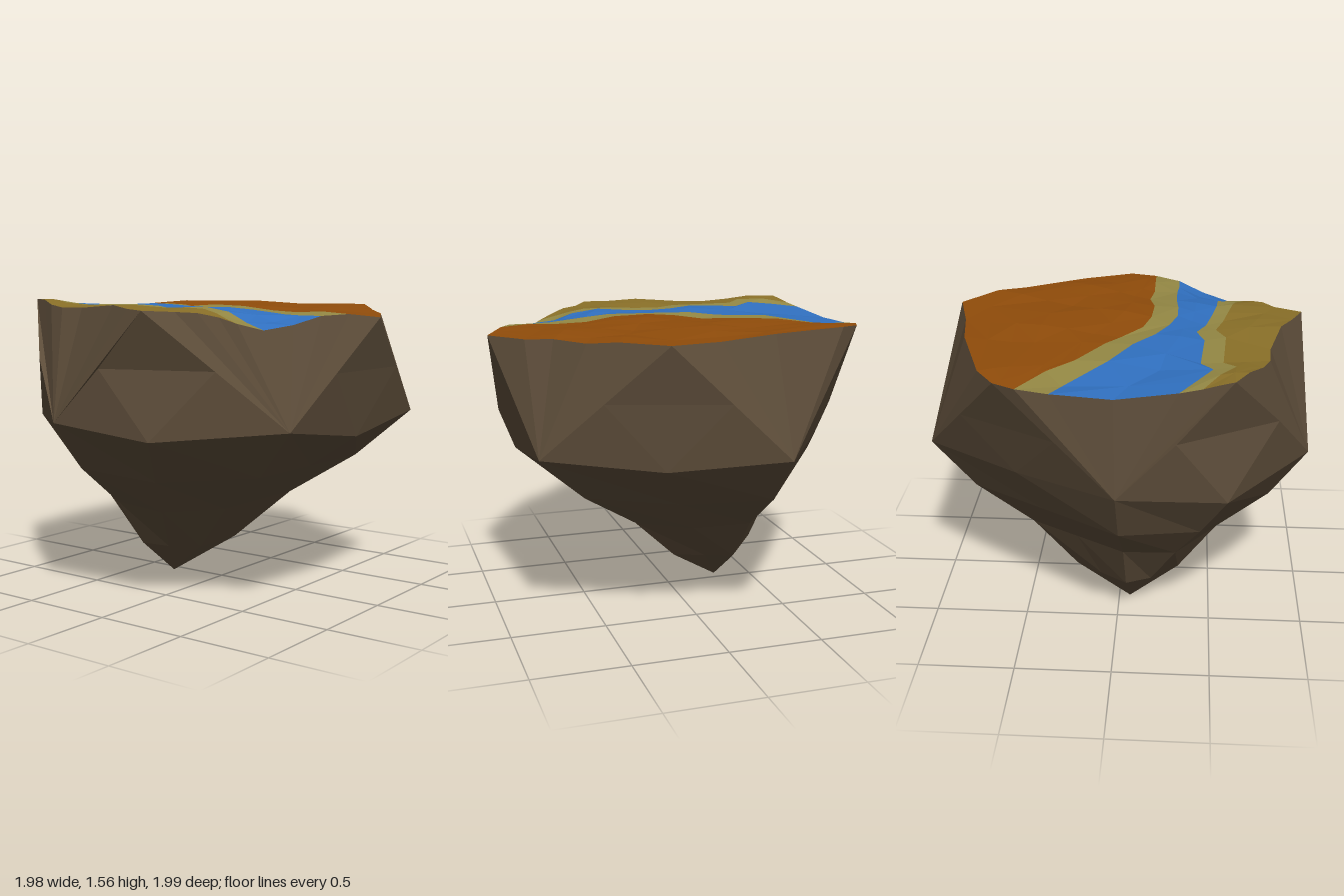
import * as THREE from 'three';

const N = 12;
const mat = (color) => new THREE.MeshStandardMaterial({ color, flatShading: true, roughness: 1 });
const V = (x, y, z) => new THREE.Vector3(x, y, z);

// Contour lines of the land as x, z pairs, each running from -x to +x
const backRim = [-.9, -.45, -.85, -.56, -.73, -.65, -.3, -.79, 0, -.84, .27, -.91, .48, -.74, .6, -.6, .72, -.4, .84, -.27, .985, 0, .89, .15];
const backShore = [-.9, -.45, -.67, -.33, -.55, -.2, -.31, -.07, -.2, 0, -.07, .11, .07, .15, .26, .16, .43, .13, .58, .15, .74, .15, .89, .15];
const backBank = [-.91, -.29, -.8, -.24, -.55, -.04, -.31, .07, -.18, .18, -.02, .25, .13, .29, .26, .29, .4, .28, .6, .28, .7, .29, .82, .29];
const frontBank = [-.9, .31, -.78, .39, -.65, .47, -.55, .41, -.27, .43, -.13, .39, 0, .44, .13, .47, .27, .5, .42, .51, .55, .54, .67, .57];
const frontShore = [-.88, .42, -.75, .5, -.62, .58, -.55, .52, -.2, .54, -.08, .49, .05, .53, .18, .56, .33, .59, .42, .61, .5, .64, .58, .66];
const frontRim = [-.85, .57, -.72, .64, -.6, .71, -.48, .75, -.33, .76, -.05, .83, .1, .9, .24, .96, .33, .82, .42, .76, .5, .7, .58, .66];
const contours = [backRim, backShore, backBank, frontBank, frontShore, frontRim];

const bands = [
  { name: 'rustField', color: 0x904c0a, rows: 6 },
  { name: 'backSand', color: 0x948844, rows: 1 },
  { name: 'river', color: 0x3070c0, rows: 2 },
  { name: 'frontSand', color: 0x948844, rows: 1 },
  { name: 'mustardField', color: 0x8a7028, rows: 2 },
];

// Nearly level ground that dips at both ends of the river
function landHeight(x, z) {
  const hill = (h, cx, cz, r) => h * Math.exp(-((x - cx) ** 2 + (z - cz) ** 2) / (r * r));
  return 1.53 - 0.05 * Math.max(0, x) ** 2
    + hill(-0.07, .68, .56, .25) + hill(-0.04, -.95, 0, .35) + hill(0.03, -.85, .57, .2)
    + 0.013 * Math.sin(9 * x + 3 * z) * Math.cos(8 * z - 2 * x);
}

// Point on the land between contour k and k + 1
function landPoint(k, t, i) {
  const mix = (j) => THREE.MathUtils.lerp(contours[k][j], contours[k + 1][j], t);
  const bow = k === 2 && i === 0 ? 0.1 * t * (1 - t) : 0;
  const x = mix(2 * i) - bow, z = mix(2 * i + 1);
  return V(x, landHeight(x, z), z);
}

function meshFrom(name, points, color) {
  const geo = new THREE.BufferGeometry().setFromPoints(points);
  geo.computeVertexNormals();
  const mesh = new THREE.Mesh(geo, mat(color));
  mesh.name = name;
  return mesh;
}

export function createModel() {
  const group = new THREE.Group();
  group.name = 'floatingIsland';

  // Land: lofted colour bands between the contours
  const grid = [];
  bands.forEach(({ name, color, rows }, k) => {
    const strip = [];
    for (let r = 0; r <= rows; r++) {
      strip.push(Array.from({ length: N }, (_, i) => landPoint(k, r / rows, i)));
    }
    const pts = [];
    for (let r = 0; r < rows; r++) {
      for (let i = 0; i < N - 1; i++) {
        const a = strip[r][i], b = strip[r][i + 1], c = strip[r + 1][i], d = strip[r + 1][i + 1];
        if ((r + i) % 2) pts.push(a, c, b, b, c, d);
        else pts.push(a, c, d, a, d, b);
      }
    }
    grid.push(...strip);
    group.add(meshFrom(name, pts, color));
  });

  // Rim: the outer edge of the land, starting at +x and going round by the front
  const rim = [];
  const addRim = (p) => {
    if (!rim.length || rim[rim.length - 1].distanceTo(p) > 1e-4) rim.push(p);
  };
  const back = grid[0], front = grid[grid.length - 1];
  addRim(back[10]);
  grid.forEach((row) => addRim(row[N - 1]));
  [...front].reverse().forEach(addRim);
  [...grid].reverse().forEach((row) => addRim(row[0]));
  back.slice(1, 10).forEach(addRim);

  // Rock: five rim corners alternate with five corners of the waist;
  // knees are the waist points straight below the rim corners
  const upper = [back[10], front[7], front[0], back[1], back[5]];
  const waist = [V(.85, .95, .61), V(-.32, .95, .99), V(-.99, 1, .02), V(-.32, .95, -1), V(.85, .95, -.62)];
  const knees = [V(.86, .87, 0), V(.25, .89, .93), V(-.84, .92, .56), V(-.66, .96, -.5), V(.27, .9, -.84)];
  const swell = [1, .985, 1.03, 1, 1];
  const apex = V(-.3, 0, .06);
  const rock = [];
  const tri = (a, b, c) => rock.push(a, b, c);
  // middle of a slanting edge, moved in or out
  const joint = (k, corner) => {
    const p = upper[k].clone().lerp(corner, 0.5);
    return p.set(p.x * swell[k], p.y, p.z * swell[k]);
  };

  const start = upper.map((u) => rim.findIndex((p) => p.distanceTo(u) < 1e-4));
  for (let k = 0; k < 5; k++) {
    const next = (k + 1) % 5;
    const u = upper[k], l = waist[k], prev = waist[(k + 4) % 5], knee = knees[k];
    const a = joint(k, prev), b = joint(k, l);
    // facets hanging below a rim corner
    tri(u, b, a);
    tri(a, knee, prev);
    tri(a, b, knee);
    tri(b, l, knee);
    // fan from a waist corner up to the rim
    const fan = [b];
    const count = (start[next] - start[k] + rim.length) % rim.length;
    for (let i = 0; i <= count; i++) fan.push(rim[(start[k] + i) % rim.length]);
    fan.push(joint(next, l));
    for (let i = 0; i + 1 < fan.length; i++) tri(l, fan[i], fan[i + 1]);
  }

  // Underside: columns tapering to the apex with slight ledges
  const steps = [0, .27, .5, .78, 1], ledges = [0, .06, 0, .06, 0];
  const column = (top, bulge) => steps.map((t, i) => {
    const dir = V(top.x - apex.x, 0, top.z - apex.z).normalize();
    return top.clone().lerp(apex, t).addScaledVector(dir, ledges[i] * bulge);
  });
  const spokes = waist.map((p) => column(p, 1));
  const lines = [];
  spokes.forEach((spoke, k) => {
    const before = spokes[(k + 4) % 5];
    // flat faces at +x and at the back left, faceted elsewhere
    const flat = k === 0 || k === 3;
    const between = flat
      ? spoke.map((p, i) => (i ? p.clone().lerp(before[i], 0.5) : knees[k]))
      : column(knees[k], 0.2);
    lines.push(between, spoke);
  });
  lines.forEach((line, c) => {
    const other = lines[(c + 1) % lines.length];
    for (let i = 0; i < 4; i++) {
      tri(line[i], other[i], line[i + 1]);
      if (i < 3) tri(other[i], other[i + 1], line[i + 1]);
    }
  });
  group.add(meshFrom('rock', rock, 0x5c4c39));
  return group;
}
